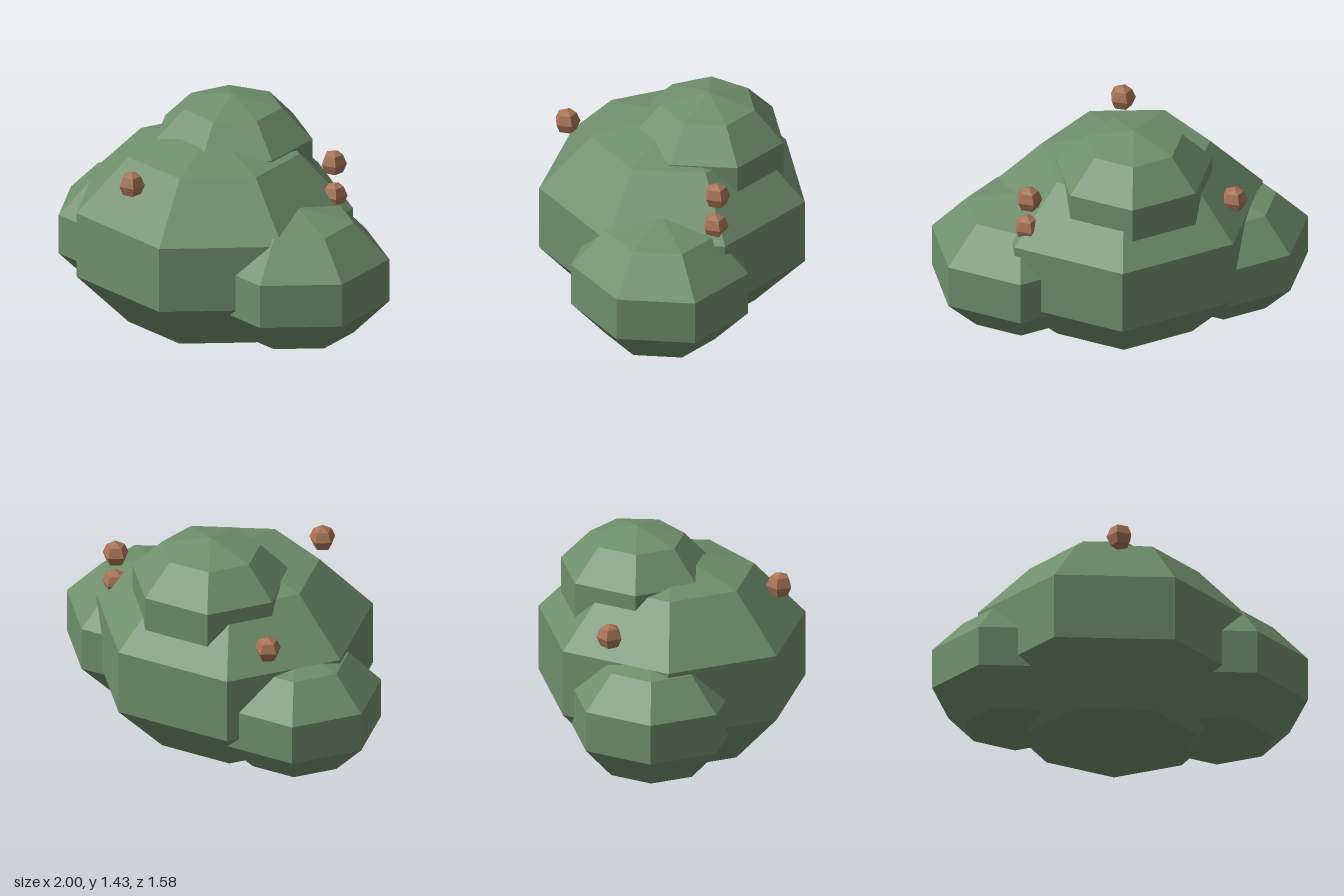
import * as THREE from 'three';

const leafMaterial = new THREE.MeshStandardMaterial({ color: 0x6f8f6c, flatShading: true });
const berryMaterial = new THREE.MeshStandardMaterial({ color: 0xa87356, flatShading: true });

// Faceted ball whose first column of corners points to +x
function ball(name, radius, sides, rows, material, [x, y, z]) {
  const geometry = new THREE.SphereGeometry(radius, sides, rows);
  geometry.rotateY(Math.PI);
  const mesh = new THREE.Mesh(geometry, material);
  mesh.name = name;
  mesh.position.set(x, y, z);
  return mesh;
}

export function createModel() {
  const bush = new THREE.Group();
  bush.name = 'berryBush';

  // Leaf clumps: slightly wide, flattened seven-sided balls
  const clumps = [
    ['mainFoliage', 0.82, [-0.08, 0.64, 0]],
    ['leftFoliage', 0.546, [0.453, 0.531, 0.285]],
    ['rightFoliage', 0.5, [-0.55, 0.495, -0.326]],
    ['topFoliage', 0.47, [0.002, 1.063, -0.18]],
  ];
  for (const [name, radius, position] of clumps) {
    const clump = ball(name, radius, 7, 5, leafMaterial, position);
    clump.scale.set(1.05, 0.78, 1);
    bush.add(clump);
  }

  // Berries: small five-sided balls
  const berries = [
    ['frontBerry', [-0.467, 1.12, 0.51]],
    ['backBerry', [-0.445, 0.965, -0.545]],
    ['upperSideBerry', [0.626, 1.12, 0.008]],
    ['lowerSideBerry', [0.632, 0.925, 0.02]],
  ];
  for (const [name, position] of berries) {
    bush.add(ball(name, 0.0775, 5, 4, berryMaterial, position));
  }

  return bush;
}
